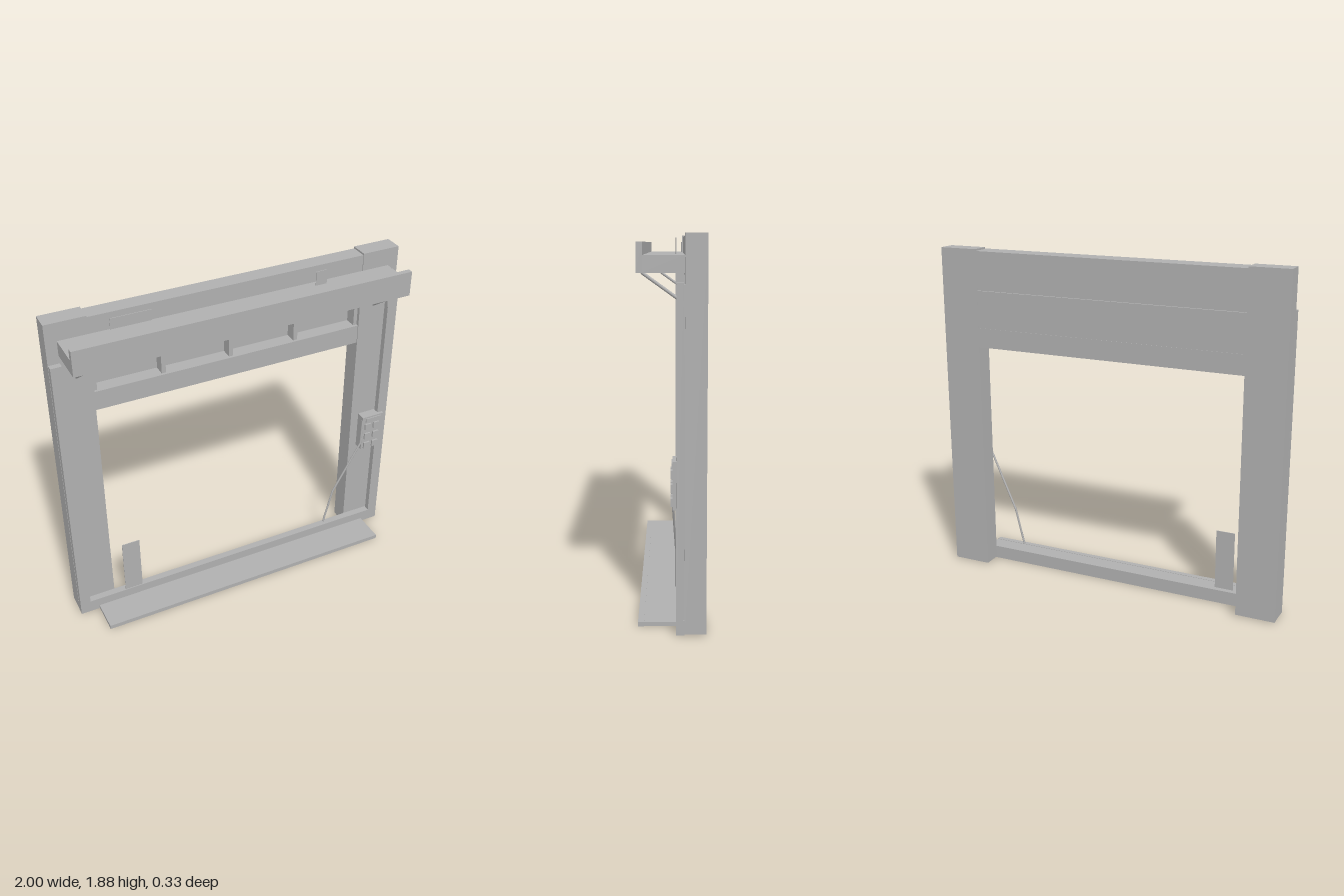
import * as THREE from 'three';

export function createModel() {
  const model = new THREE.Group();
  const grey = new THREE.MeshStandardMaterial({ color: 0xb0b0b0 });
  grey.name = 'plain grey';
  grey.side = THREE.DoubleSide;

  const add = (name, geometry) => {
    const mesh = new THREE.Mesh(geometry, grey);
    mesh.name = name;
    model.add(mesh);
    return mesh;
  };
  // Box given by its limits on each axis
  const box = (name, x0, x1, y0, y1, z0, z1) =>
    add(name, new THREE.BoxGeometry(x1 - x0, y1 - y0, z1 - z0))
      .position.set((x0 + x1) / 2, (y0 + y1) / 2, (z0 + z1) / 2);
  // Straight round rod between two points
  const rod = (name, a, b, radius) => {
    const from = new THREE.Vector3(...a), to = new THREE.Vector3(...b);
    const dir = to.clone().sub(from);
    const mesh = add(name, new THREE.CylinderGeometry(radius, radius, dir.length(), 8));
    mesh.position.copy(from).add(to).multiplyScalar(0.5);
    mesh.quaternion.setFromUnitVectors(new THREE.Vector3(0, 1, 0), dir.normalize());
  };
  // Flat torn scrap facing the front
  const scrap = (name, z, points) => {
    const shape = new THREE.Shape(points.map(([x, y]) => new THREE.Vector2(x, y)));
    add(name, new THREE.ShapeGeometry(shape)).position.z = z;
  };

  // Posts, raised outer rims and canopy braces on both sides
  for (const s of [-1, 1]) {
    const side = (name, a, b, ...rest) => box(name, Math.min(s * a, s * b), Math.max(s * a, s * b), ...rest);
    side('post', 0.78, 1, 0.01, 1.89, -0.163, -0.06);
    side('rimSeam', 0.945, 0.99, 0.01, 1.66, -0.06, -0.05);
    side('outerRim', 0.94, 1, 0.005, 1.67, -0.053, -0.02);
    rod('canopyBrace', [s * 0.865, 1.71, 0.14], [s * 0.865, 1.57, -0.055], 0.008);
  }

  // Bottom sill and counter shelf with a raised front edge
  box('sill', -1, 1, 0.005, 0.08, -0.06, -0.02);
  box('counterShelf', -0.89, 0.89, 0.008, 0.028, -0.02, 0.14);
  box('shelfEdge', -0.89, 0.89, 0.005, 0.03, 0.135, 0.165);

  // Lintel in two courses
  box('lintelTop', -0.78, 0.78, 1.77, 1.88, -0.16, -0.065);
  box('lintelBottom', -0.78, 0.78, 1.68, 1.77, -0.158, -0.065);

  // Raised shutter: skin, ribs and bottom beam
  box('shutterSkin', -0.78, 0.78, 1.45, 1.66, -0.157, -0.145);
  box('shutterGap', -0.78, 0.78, 1.65, 1.69, -0.145, -0.13);
  box('shutterBeam', -0.78, 0.78, 1.34, 1.45, -0.159, -0.065);
  for (const x of [-0.77, -0.392, -0.003, 0.387, 0.77])
    box('shutterRib', x - 0.012, x + 0.012, 1.45, 1.68, -0.146, -0.08);

  // Canopy tray with a tall front board
  box('canopyTray', -0.94, 0.94, 1.71, 1.79, -0.06, 0.14);
  box('canopyBoard', -0.94, 0.94, 1.71, 1.85, 0.135, 0.165);

  // Keypad with screen and buttons
  box('keypad', 0.83, 0.97, 0.61, 0.84, -0.06, -0.003);
  box('keypadScreen', 0.85, 0.95, 0.803, 0.83, -0.003, 0.003);
  for (const x of [0.865, 0.922])
    for (const y of [0.772, 0.705, 0.638])
      box('keypadButton', x - 0.02, x + 0.02, y - 0.02, y + 0.02, -0.003, 0.007);

  // Hanging cable
  const cable = [[0.832, 0.82, -0.01], [0.822, 0.66, 0], [0.66, 0.33, -0.02], [0.605, 0.11, -0.02]];
  for (let i = 0; i < 3; i++) rod('cable', cable[i], cable[i + 1], 0.006);

  // Thin notices
  box('lowerNotice', -0.72, -0.615, 0.08, 0.42, -0.03, -0.026);
  box('canopyNotice', 0.465, 0.53, 1.64, 1.87, -0.022, -0.018);
  box('lintelNotice', -0.67, -0.45, 1.77, 1.85, -0.058, -0.054);

  // Torn scraps on posts and shutter
  scrap('postScrap', -0.018, [[-0.94, 0.97], [-0.94, 0.36], [-0.905, 0.67]]);
  scrap('rimScrap', -0.015, [[0.94, 1.85], [0.92, 1.7], [0.935, 1.55], [0.96, 1.67], [0.99, 1.66]]);
  scrap('shutterScrap', -0.14, [[-0.41, 1.66], [-0.5, 1.56], [-0.41, 1.45]]);
  scrap('shutterScrap', -0.14, [[0.16, 1.67], [0.22, 1.5], [0.38, 1.53], [0.38, 1.67]]);
  scrap('shutterScrap', -0.14, [[0.53, 1.66], [0.63, 1.645], [0.77, 1.59], [0.77, 1.67]]);

  return model;
}
